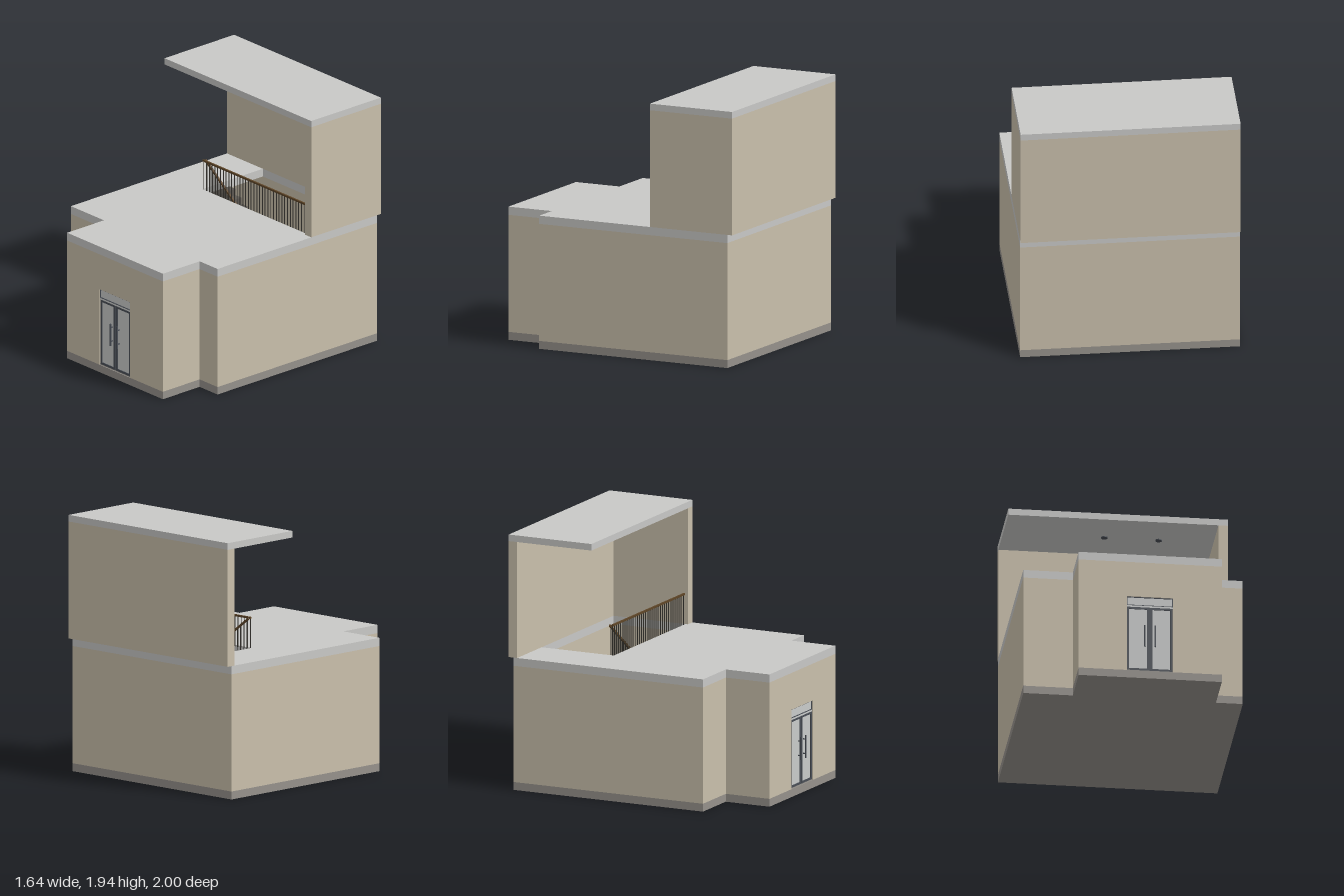
import * as THREE from 'three';

const mat = (name, color, extra = {}) => {
  const m = new THREE.MeshStandardMaterial({ color, ...extra });
  m.name = name;
  return m;
};

export function createModel() {
  const M = {
    wall: mat('beige wall', 0xc9bfab),
    slab: mat('light grey slab', 0xc8c8c6),
    base: mat('grey plinth', 0x95918b),
    frame: mat('dark frame', 0x4a4f57),
    glass: mat('pale glass', 0xc9cbca),
    wood: mat('brown handrail', 0x5e4527),
    iron: mat('dark baluster', 0x36342f),
    step: mat('dark stair', 0x5c5852),
  };
  const root = new THREE.Group();
  root.name = 'house';

  // box from min and max corners
  const box = (name, m, x0, x1, y0, y1, z0, z1, parent = root) => {
    const mesh = new THREE.Mesh(new THREE.BoxGeometry(x1 - x0, y1 - y0, z1 - z0), m);
    mesh.position.set((x0 + x1) / 2, (y0 + y1) / 2, (z0 + z1) / 2);
    mesh.name = name;
    parent.add(mesh);
    return mesh;
  };
  // floor plan of [x, z] points raised from y0 to y1
  const plan = (name, m, pts, y0, y1, hole) => {
    const toV = ([x, z]) => new THREE.Vector2(x, -z);
    const shape = new THREE.Shape(pts.map(toV));
    if (hole) shape.holes.push(new THREE.Path(hole.map(toV)));
    const geo = new THREE.ExtrudeGeometry(shape, { depth: y1 - y0, bevelEnabled: false });
    geo.rotateX(-Math.PI / 2).translate(0, y0, 0);
    const mesh = new THREE.Mesh(geo, m);
    mesh.name = name;
    root.add(mesh);
  };
  const group = (name) => {
    const g = new THREE.Group();
    g.name = name;
    root.add(g);
    return g;
  };

  // ground floor: plinth, walls with a door gap, floor slab with a stairwell
  const D0 = -0.09, D1 = 0.255, FRONT = 0.985, IN = 0.915;
  const outer = [[-0.45, FRONT], [-0.45, 0.62], [-0.82, 0.62], [-0.82, -0.96],
    [0.82, -0.96], [0.82, 0.62], [0.62, 0.62], [0.62, FRONT]];
  const inner = [[0.55, IN], [0.55, 0.55], [0.75, 0.55], [0.75, -0.93],
    [-0.75, -0.93], [-0.75, 0.55], [-0.38, 0.55], [-0.38, IN]];
  plan('plinth', M.base, outer, 0, 0.06);
  plan('lowerWalls', M.wall,
    [[D0, FRONT], ...outer, [D1, FRONT], [D1, IN], ...inner, [D0, IN]], 0.06, 0.665);
  plan('wallsAboveDoor', M.wall, outer, 0.665, 0.945, inner);
  plan('floorSlab', M.slab, outer, 0.945, 1.007,
    [[-0.42, -0.33], [0.75, -0.33], [0.75, -0.93], [-0.42, -0.93]]);

  // upper storey: back wall, one side wall and roof
  box('upperBackWall', M.wall, -0.82, 0.75, 1.007, 1.89, -1, -0.93);
  box('upperSideWall', M.wall, 0.75, 0.82, 1.007, 1.89, -1, -0.31);
  box('roof', M.slab, -0.82, 0.82, 1.89, 1.94, -1, -0.31);
  for (const x of [-0.065, 0.34]) {
    const lamp = new THREE.Mesh(new THREE.CylinderGeometry(0.024, 0.024, 0.008, 20), M.frame);
    lamp.position.set(x, 1.886, -0.62);
    lamp.name = 'ceilingLight';
    root.add(lamp);
  }

  // double door with transom
  const door = group('door');
  const zf = 0.978, zb = 0.945;
  const framed = (name, x0, x1, y0, y1, t) => {
    box(name + 'Glass', M.glass, x0 + t, x1 - t, y0 + t, y1 - t, zb + 0.01, zf - 0.006, door);
    box(name + 'Left', M.frame, x0, x0 + t, y0, y1, zb, zf, door);
    box(name + 'Right', M.frame, x1 - t, x1, y0, y1, zb, zf, door);
    box(name + 'Bottom', M.frame, x0 + t, x1 - t, y0, y0 + t, zb, zf, door);
    box(name + 'Top', M.frame, x0 + t, x1 - t, y1 - t, y1, zb, zf, door);
  };
  const mid = (D0 + D1) / 2;
  framed('transom', D0, D1, 0.595, 0.665, 0.005);
  box('doorHead', M.glass, D0, D1, 0.582, 0.595, zb, zf, door);
  box('doorSill', M.base, D0, D1, 0.06, 0.066, zb, zf, door);
  box('doorPost', M.frame, mid - 0.008, mid + 0.008, 0.066, 0.582, zb, zf - 0.006, door);
  framed('leftLeaf', D0 + 0.003, mid - 0.005, 0.066, 0.582, 0.016);
  framed('rightLeaf', mid + 0.005, D1 - 0.003, 0.066, 0.582, 0.016);
  for (const s of [-1, 1]) {
    const hx = mid + s * 0.038;
    box('handle', M.frame, hx - 0.005, hx + 0.005, 0.255, 0.43, 0.99, 1, door);
    for (const y of [0.285, 0.395])
      box('handleMount', M.frame, hx - 0.003, hx + 0.003, y, y + 0.008, 0.97, 0.992, door);
  }

  // half-turn stair: upper flight, landing, lower flight
  const stair = group('stair');
  const RISE = 0.05, TREAD = 0.067, X0 = -0.42;
  for (let i = 0; i < 10; i++) {
    const x = X0 + i * TREAD, y = 1.007 - (i + 1) * RISE;
    box('upperStep', M.step, x, x + TREAD, y - 0.06, y, -0.6, -0.35, stair);
  }
  box('landing', M.step, 0.25, 0.75, 0.45, 0.507, -0.93, -0.35, stair);
  for (let i = 0; i < 8; i++) {
    const x = 0.25 - i * TREAD, y = 0.507 - (i + 1) * RISE;
    box('lowerStep', M.step, x - TREAD, x, Math.max(y - 0.06, 0.06), y, -0.92, -0.66, stair);
  }

  // railing: level guard along the stairwell and a sloping rail down the flight
  const railing = group('railing');
  const baluster = (x, y0, y1, z) =>
    box('baluster', M.iron, x - 0.0025, x + 0.0025, y0, y1, z - 0.0025, z + 0.0025, railing);
  box('levelHandrail', M.wood, X0, 0.75, 1.228, 1.242, -0.347, -0.333, railing);
  for (let i = 0; i <= 37; i++) baluster(X0 + 0.004 + i * 0.0312, 1.0, 1.23, -0.34);
  const run = 10 * TREAD, drop = 10 * RISE;
  const slope = box('slopingHandrail', M.wood, 0, Math.hypot(run, drop), 0, 0.014, -0.369, -0.355, railing);
  slope.position.set(X0 + run / 2, 1.233 - drop / 2, -0.362);
  slope.rotation.z = -Math.atan2(drop, run);
  for (let i = 0; i < 20; i++) {
    const x = X0 + (i + 0.5) * TREAD / 2;
    baluster(x, 1.007 - (Math.floor(i / 2) + 1) * RISE, 1.233 - (x - X0) * RISE / TREAD, -0.362);
  }
  return root;
}
